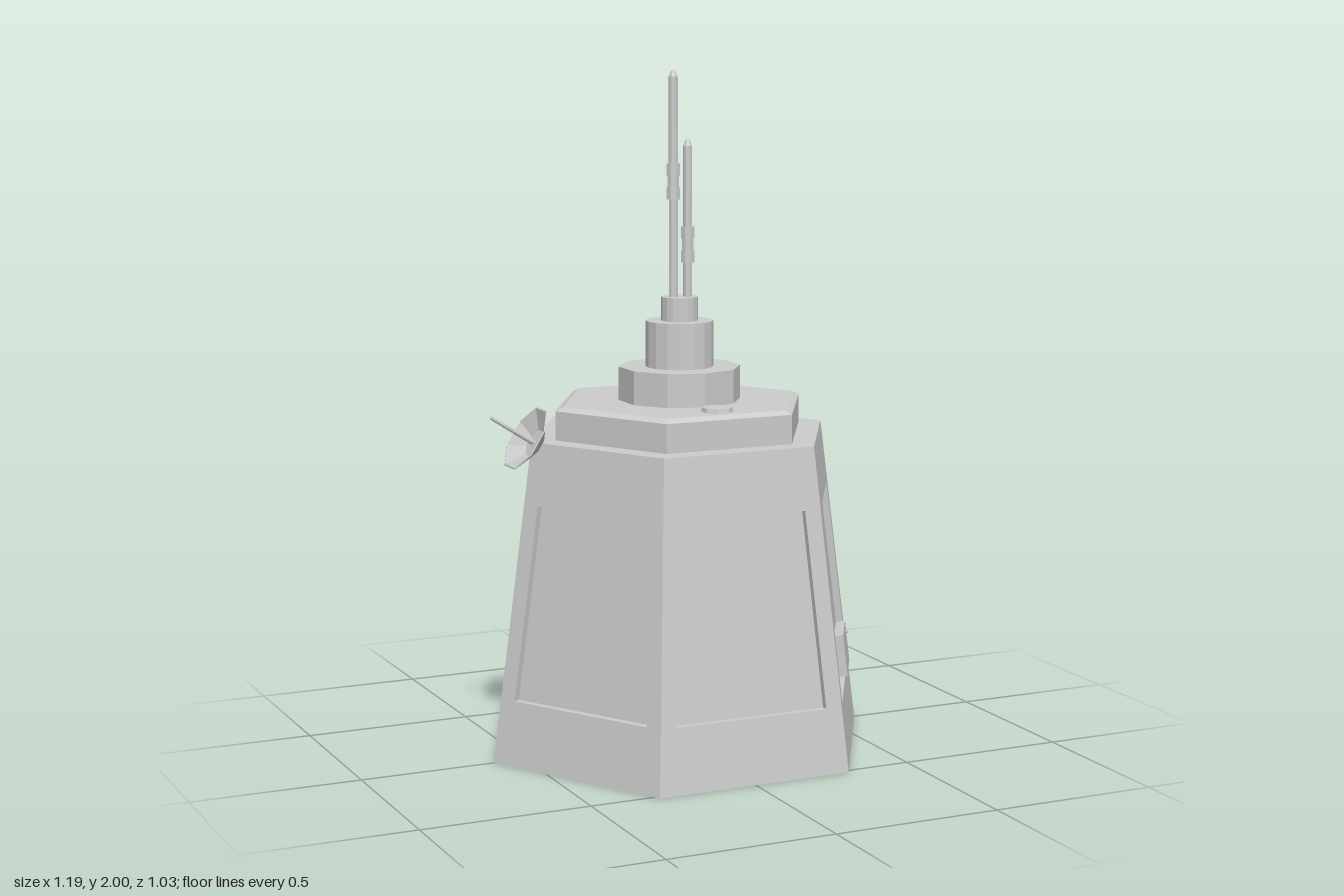
import * as THREE from 'three';

const material = new THREE.MeshStandardMaterial({ color: 0xcccccc, flatShading: true, side: THREE.DoubleSide });
const HEX = Math.PI / 6;
const BODY_H = 0.94, R_BOTTOM = 0.597, R_TOP = 0.47;

function add(parent, name, geometry, x = 0, y = 0, z = 0) {
  const mesh = new THREE.Mesh(geometry, material);
  mesh.name = name;
  mesh.position.set(x, y, z);
  parent.add(mesh);
  return mesh;
}

// Stacked ring standing on y0
function drum(parent, name, rTop, rBottom, y0, y1, sides, start = 0, x = 0, z = 0) {
  return add(parent, name, new THREE.CylinderGeometry(rTop, rBottom, y1 - y0, sides, 1, false, start), x, (y0 + y1) / 2, z);
}

const radiusAt = (y) => THREE.MathUtils.lerp(R_BOTTOM, R_TOP, y / BODY_H);
const apothemAt = (y) => radiusAt(y) * Math.cos(HEX);

// One sloping wall facing +z, with a sunken trapezoid panel
function wallGeometry() {
  const ring = (y0, y1, margin, depth) => [[-1, y0], [1, y0], [1, y1], [-1, y1]].map(
    ([s, y]) => [s * (radiusAt(y) / 2 - margin), y, apothemAt(y) - depth]);
  const outer = ring(0, BODY_H, 0, 0);
  const rim = ring(0.19, 0.76, 0.05, 0);
  const floor = ring(0.19, 0.76, 0.05, 0.02);
  const points = [];
  const quad = (a, b, c, d) => points.push(...a, ...b, ...c, ...a, ...c, ...d);
  for (let i = 0; i < 4; i++) {
    const j = (i + 1) % 4;
    quad(outer[i], outer[j], rim[j], rim[i]);
    quad(rim[i], rim[j], floor[j], floor[i]);
  }
  quad(...floor);
  const geometry = new THREE.BufferGeometry();
  geometry.setAttribute('position', new THREE.Float32BufferAttribute(points, 3));
  geometry.computeVertexNormals();
  return geometry;
}

// Rod with a pointed tip and a two-ring collar
function antenna(parent, name, x, z, top, collar) {
  const r = 0.014, wide = 0.021, mid = 0.018;
  const profile = [
    [0, 1.33], [r, 1.33], [r, collar],
    [wide, collar], [wide, collar + 0.035], [mid, collar + 0.035],
    [mid, collar + 0.07], [wide, collar + 0.07], [wide, collar + 0.105],
    [r, collar + 0.105], [r, top - 0.02], [0.007, top - 0.003], [0, top],
  ].map(([px, py]) => new THREE.Vector2(px, py));
  add(parent, name, new THREE.LatheGeometry(profile, 8), x, 0, z);
}

export function createModel() {
  const model = new THREE.Group();
  model.name = 'commsTower';

  // Hexagonal body
  const body = new THREE.Group();
  body.name = 'body';
  model.add(body);
  const wall = wallGeometry();
  for (let k = 0; k < 6; k++) add(body, 'panelWall', wall).rotation.y = k * Math.PI / 3;
  for (const [name, r, y] of [['base', R_BOTTOM, 0], ['shoulder', R_TOP, BODY_H]]) {
    const cap = add(body, name, new THREE.CircleGeometry(r, 6), 0, y, 0);
    cap.rotation.x = y ? -Math.PI / 2 : Math.PI / 2;
  }

  // Control box on the front-left wall
  const side = new THREE.Group();
  side.name = 'controlBox';
  side.rotation.y = Math.PI / 3;
  model.add(side);
  const box = new THREE.Group();
  box.position.set(0.135, 0.257, apothemAt(0.257) - 0.007);
  box.rotation.x = -Math.atan((apothemAt(0) - apothemAt(BODY_H)) / BODY_H);
  side.add(box);
  add(box, 'boxCase', new THREE.BoxGeometry(0.19, 0.125, 0.03));
  add(box, 'boxKnob', new THREE.CylinderGeometry(0.006, 0.006, 0.006, 8), 0.06, 0.037, 0.017).rotation.x = Math.PI / 2;

  // Roof plate with chamfered edge, hatches and stepped mast base
  drum(model, 'roofPlate', 0.395, 0.395, BODY_H, 1.025, 6, HEX);
  drum(model, 'roofChamfer', 0.37, 0.395, 1.025, 1.036, 6, HEX);
  for (const z of [-0.258, 0.258]) drum(model, 'roofHatch', 0.044, 0.048, 1.03, 1.048, 8, Math.PI / 8, 0, z);
  drum(model, 'mastBaseLower', 0.18, 0.18, 1.03, 1.135, 10);
  drum(model, 'mastBaseMiddle', 0.1, 0.1, 1.13, 1.27, 16);
  drum(model, 'mastBaseUpper', 0.054, 0.054, 1.27, 1.34, 16);

  antenna(model, 'tallAntenna', -0.02, 0, 2, 1.625);
  antenna(model, 'shortAntenna', 0.022, 0.009, 1.8, 1.44);

  // Dish on the right corner, opening outward and up
  const dish = new THREE.Group();
  dish.name = 'dish';
  dish.position.set(-0.487, 0.953, 0);
  dish.quaternion.setFromUnitVectors(new THREE.Vector3(0, 1, 0), new THREE.Vector3(-0.85, 0.53, 0).normalize());
  model.add(dish);
  const bowl = [[0, -0.038], [0.045, -0.036], [0.105, 0], [0.1, 0.002], [0.043, -0.03], [0, -0.031]];
  add(dish, 'dishBowl', new THREE.LatheGeometry(bowl.map(([x, y]) => new THREE.Vector2(x, y)), 8, Math.PI / 8));
  add(dish, 'dishFeed', new THREE.CylinderGeometry(0.005, 0.008, 0.157, 8), 0, 0.047, 0);

  return model;
}
